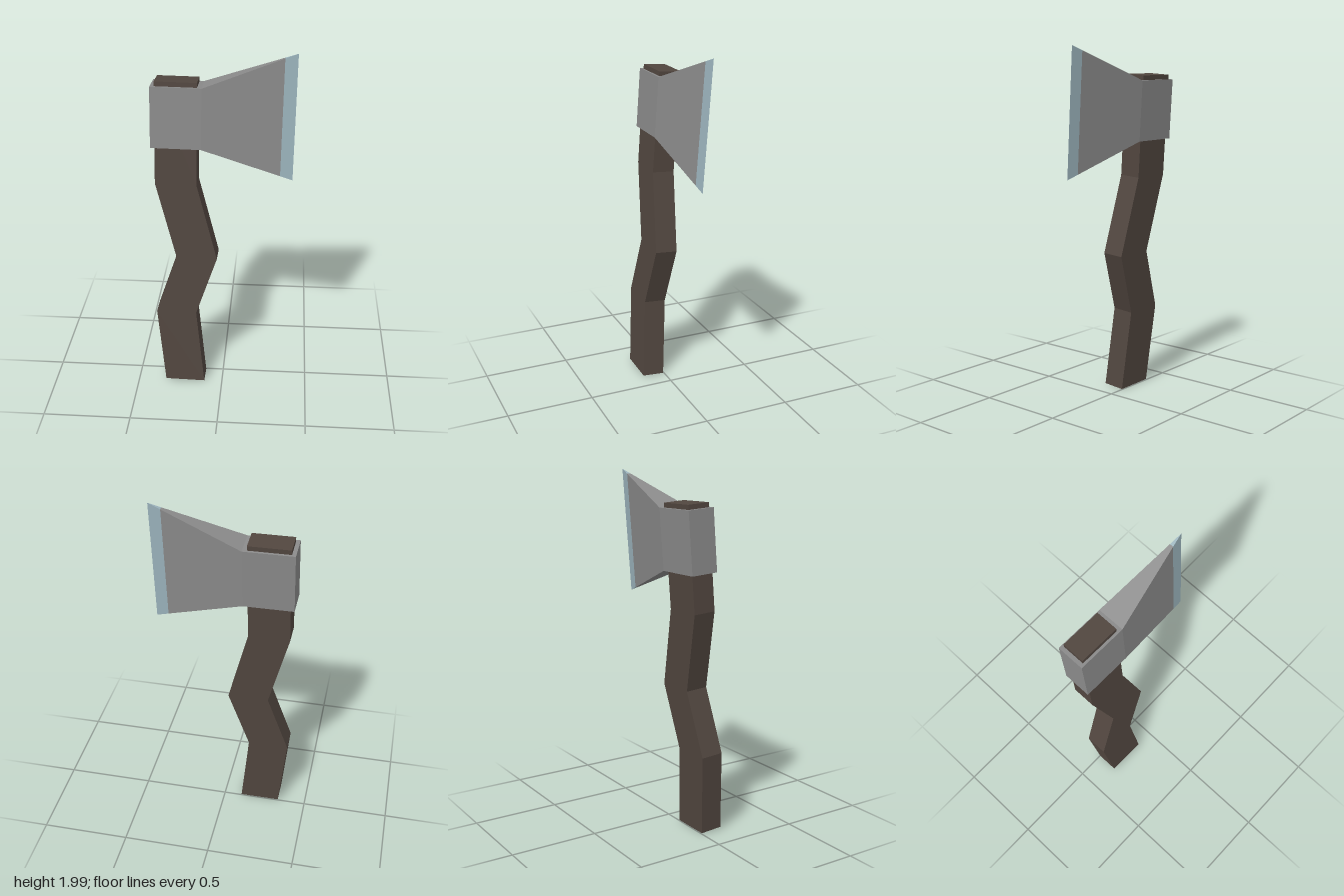
import * as THREE from 'three';

const wood = new THREE.MeshStandardMaterial({ name: 'dark wood', color: 0x51463f, flatShading: true });
const steel = new THREE.MeshStandardMaterial({ name: 'grey steel', color: 0x8a8a8a, flatShading: true });
const honed = new THREE.MeshStandardMaterial({ name: 'honed edge', color: 0x9bb3bc, flatShading: true });

// Joins rectangular sections [x, bottom, top, halfThickness] running along +x
function loft(sections, capStart) {
  const pos = [];
  const rings = sections.map(([x, b, t, h]) => [[x, b, h], [x, b, -h], [x, t, -h], [x, t, h]]);
  const tri = (...pts) => pts.forEach((p) => pos.push(...p));
  for (let s = 0; s < rings.length - 1; s++) {
    const a = rings[s], c = rings[s + 1];
    for (let i = 0; i < 4; i++) {
      const j = (i + 1) % 4;
      tri(a[i], a[j], c[i]);
      tri(c[i], a[j], c[j]);
    }
  }
  if (capStart) {
    const a = rings[0];
    tri(a[0], a[2], a[1]);
    tri(a[0], a[3], a[2]);
  }
  const geo = new THREE.BufferGeometry();
  geo.setAttribute('position', new THREE.Float32BufferAttribute(pos, 3));
  geo.computeVertexNormals();
  return geo;
}

function add(group, name, geo, mat) {
  const mesh = new THREE.Mesh(geo, mat);
  mesh.name = name;
  group.add(mesh);
  return mesh;
}

export function createModel() {
  const axe = new THREE.Group();
  axe.name = 'axe';

  // Crooked handle: left outline, repeated one width to the right
  const width = 0.23, depth = 0.128;
  const left = [[-0.335, 0.003], [-0.387, 0.466], [-0.271, 0.822], [-0.391, 1.268], [-0.391, 1.844]];
  const right = left.map(([x, y]) => [x + width, y]).reverse();
  const outline = new THREE.Shape([...left, ...right].map(([x, y]) => new THREE.Vector2(x, y)));
  const handleGeo = new THREE.ExtrudeGeometry(outline, { depth, bevelEnabled: false });
  handleGeo.translate(0, 0, -depth / 2);
  add(axe, 'handle', handleGeo, wood);

  // Head: square socket, then cheeks flaring in height and thinning to the edge
  const socket = [-0.136, 1.478, 1.818, 0.078];
  const tip = [0.364, 1.298, 2.004, 0];
  const bevel = socket.map((v, i) => THREE.MathUtils.lerp(v, tip[i], 0.862));
  add(axe, 'head', loft([[-0.413, 1.478, 1.818, 0.078], socket, bevel], true), steel);
  add(axe, 'cuttingEdge', loft([bevel, tip], false), honed);

  // The whole tool leans slightly
  axe.rotation.set(-0.068, -0.01, -0.013);
  axe.position.z = 0.07;

  const model = new THREE.Group();
  model.name = 'model';
  model.add(axe);
  return model;
}
